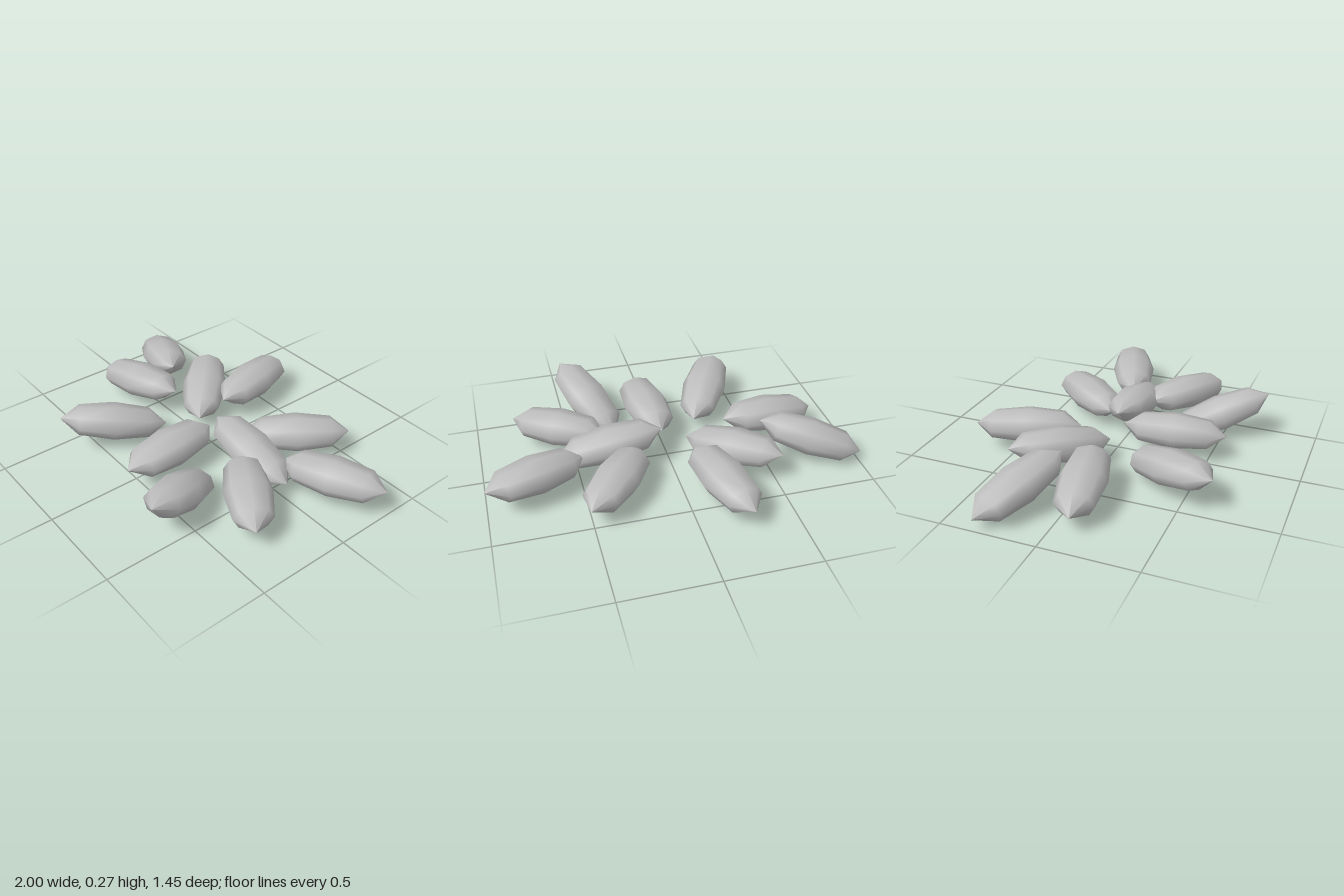
import * as THREE from 'three';

export function createModel() {
  const group = new THREE.Group();
  group.name = 'scatteredGrains';
  const grey = new THREE.MeshStandardMaterial({ color: 0xbcbcbc });
  grey.name = 'grain light grey';

  // One low-poly, smooth-shaded grain: pointed tips along y, flattened along z
  const profile = [[0, -1], [0.8, -0.66], [1, 0], [0.8, 0.66], [0, 1]]
    .map(([r, y]) => new THREE.Vector2(r, y));
  const grainShape = new THREE.LatheGeometry(profile, 8);
  grainShape.scale(0.125, 1, 0.09);

  // Both tips of every grain: x, y, z, x, y, z
  const grains = [
    [-1.0, 0.06, -0.325, -0.49, 0.205, -0.105],
    [-0.88, 0.1, 0.11, -0.32, 0.17, 0.005],
    [-0.52, 0.17, -0.39, -0.105, 0.1, 0.0],
    [-0.25, 0.13, -0.73, -0.105, 0.15, -0.17],
    [0.515, 0.13, -0.53, 0.17, 0.125, -0.08],
    [1.0, 0.155, -0.285, 0.475, 0.13, -0.08],
    [0.035, 0.185, -0.01, 0.6, 0.09, -0.005],
    [0.325, 0.14, 0.07, 0.795, 0.13, 0.37],
    [0.24, 0.03, 0.235, 0.47, 0.24, 0.72],
    [0.02, 0.14, 0.03, 0.07, 0.14, 0.59],
    [-0.2, 0.09, 0.16, -0.47, 0.19, 0.66],
  ];

  const up = new THREE.Vector3(0, 1, 0);
  grains.forEach((g, i) => {
    const a = new THREE.Vector3(g[0], g[1], g[2]);
    const b = new THREE.Vector3(g[3], g[4], g[5]);
    const along = b.clone().sub(a);
    const length = along.length();
    along.normalize();
    // Keep the flat side of the grain facing up
    const across = along.clone().cross(up).normalize();
    const normal = across.clone().cross(along);

    const grain = new THREE.Mesh(grainShape, grey);
    grain.name = `grain${i + 1}`;
    grain.quaternion.setFromRotationMatrix(new THREE.Matrix4().makeBasis(across, along, normal));
    grain.position.copy(a).add(b).multiplyScalar(0.5);
    grain.scale.set(1, length / 2, 1);
    group.add(grain);
  });
  return group;
}
